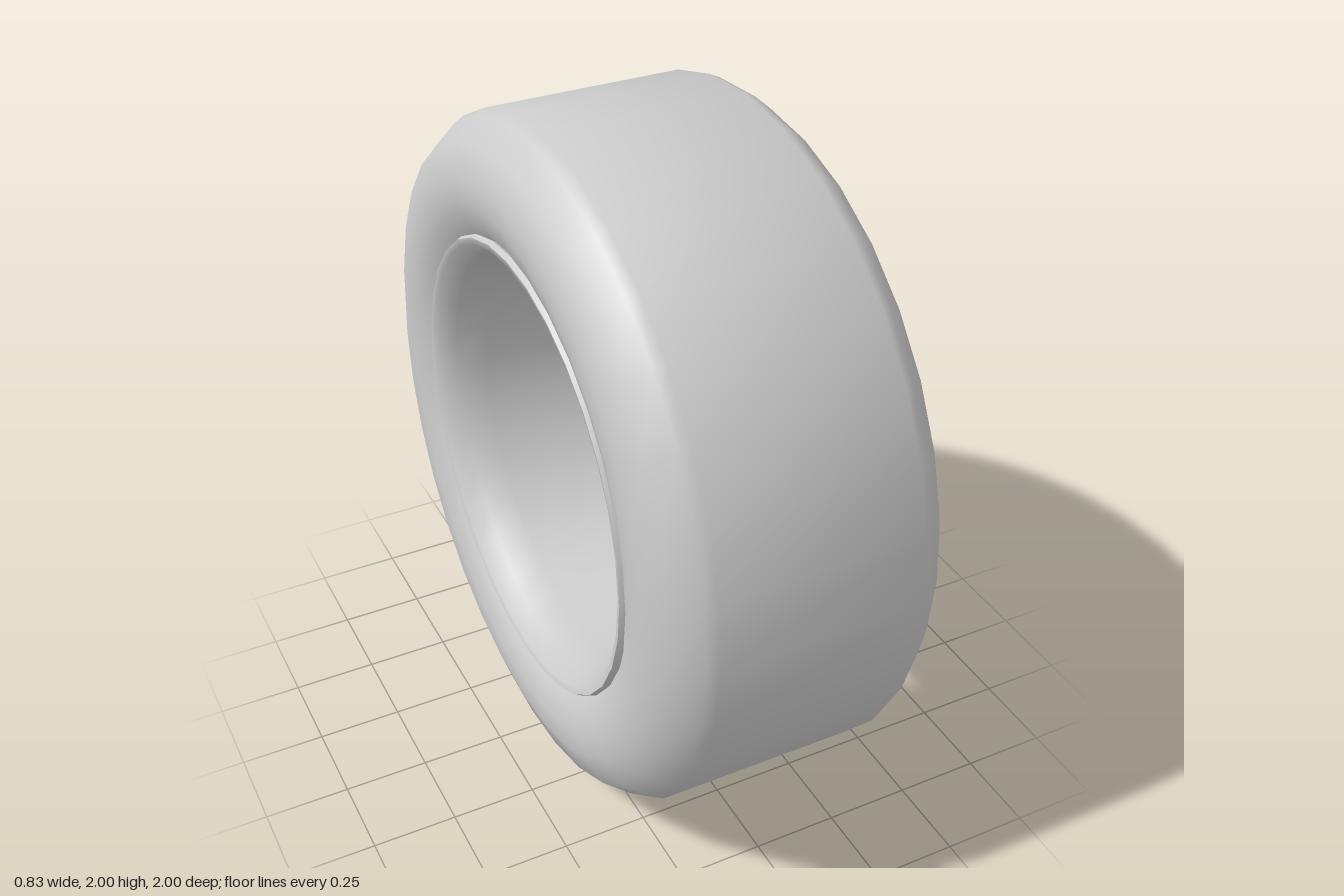
import * as THREE from 'three';
import { toCreasedNormals } from 'three/addons/utils/BufferGeometryUtils.js';

const material = new THREE.MeshStandardMaterial({ color: 0xcccccc, side: THREE.DoubleSide });

// Revolves [radius, x] points around the x axle
function revolve(name, profile, segments, crease) {
  const points = profile.map(([r, x]) => new THREE.Vector2(r, x));
  const lathe = new THREE.LatheGeometry(points, segments).rotateZ(-Math.PI / 2);
  const mesh = new THREE.Mesh(toCreasedNormals(lathe, crease), material);
  mesh.name = name;
  return mesh;
}

// Lofts trapezoid sections [radius, front width, back width, front x, back x]
function loftSpoke(sections) {
  const positions = [];
  const index = [];
  for (const [r, wf, wb, xf, xb] of sections) {
    positions.push(xf, r, wf / 2, xf, r, -wf / 2, xb, r, -wb / 2, xb, r, wb / 2);
  }
  for (let i = 0; i < sections.length - 1; i++) {
    for (let j = 0; j < 4; j++) {
      const a = i * 4 + j, b = i * 4 + (j + 1) % 4;
      index.push(a, b, b + 4, a, b + 4, a + 4);
    }
  }
  const geometry = new THREE.BufferGeometry();
  geometry.setAttribute('position', new THREE.Float32BufferAttribute(positions, 3));
  geometry.setIndex(index);
  return toCreasedNormals(geometry, 0.5);
}

export function createModel() {
  const wheel = new THREE.Group();
  wheel.name = 'wheel';
  wheel.position.y = 1;

  // Tyre: back sidewall, tread, front sidewall with a raised band
  wheel.add(revolve('tyre', [
    [0.66, -0.37], [0.70, -0.40], [0.77, -0.42], [0.84, -0.42], [0.93, -0.39],
    [0.985, -0.32], [1, -0.29], [1, 0.30], [0.985, 0.33], [0.94, 0.38],
    [0.875, 0.38], [0.85, 0.41], [0.77, 0.41], [0.70, 0.395], [0.66, 0.37],
  ], 32, 0.85));

  // Rim: rounded lips joined by an open barrel
  wheel.add(revolve('rim', [
    [0.66, 0.36], [0.672, 0.385], [0.665, 0.405], [0.645, 0.405], [0.63, 0.38],
    [0.615, 0.35], [0.58, 0.32], [0.565, 0.28], [0.565, 0.15], [0.58, 0.05],
    [0.59, -0.25], [0.61, -0.34], [0.645, -0.395], [0.665, -0.40], [0.672, -0.385], [0.66, -0.36],
  ], 32, 0.8));

  const spokeSet = new THREE.Group();
  spokeSet.name = 'spokeSet';
  spokeSet.rotation.x = THREE.MathUtils.degToRad(-17);
  wheel.add(spokeSet);

  // Octagonal hub with a bore, its collar flaring into the spokes
  const hub = revolve('hub', [
    [0.07, -0.08], [0.13, -0.08], [0.13, 0.09], [0.21, 0.11], [0.21, 0.15],
    [0.16, 0.18], [0.14, 0.21], [0.135, 0.24], [0.07, 0.24], [0.07, -0.08],
  ], 8, 0.6);
  hub.rotation.x = Math.PI / 8;
  spokeSet.add(hub);

  // Eight tapered spokes with flared feet on the rim
  const spokeGeometry = loftSpoke([
    [0.14, 0.07, 0.11, 0.205, 0.09],
    [0.21, 0.09, 0.17, 0.19, 0.11],
    [0.33, 0.08, 0.13, 0.22, 0.14],
    [0.335, 0.10, 0.13, 0.225, 0.14],
    [0.51, 0.07, 0.08, 0.29, 0.19],
    [0.575, 0.14, 0.16, 0.32, 0.17],
  ]);
  for (let i = 0; i < 8; i++) {
    const spoke = new THREE.Mesh(spokeGeometry, material);
    spoke.name = 'spoke';
    spoke.rotation.x = i * Math.PI / 4;
    spokeSet.add(spoke);
  }
  return wheel;
}
